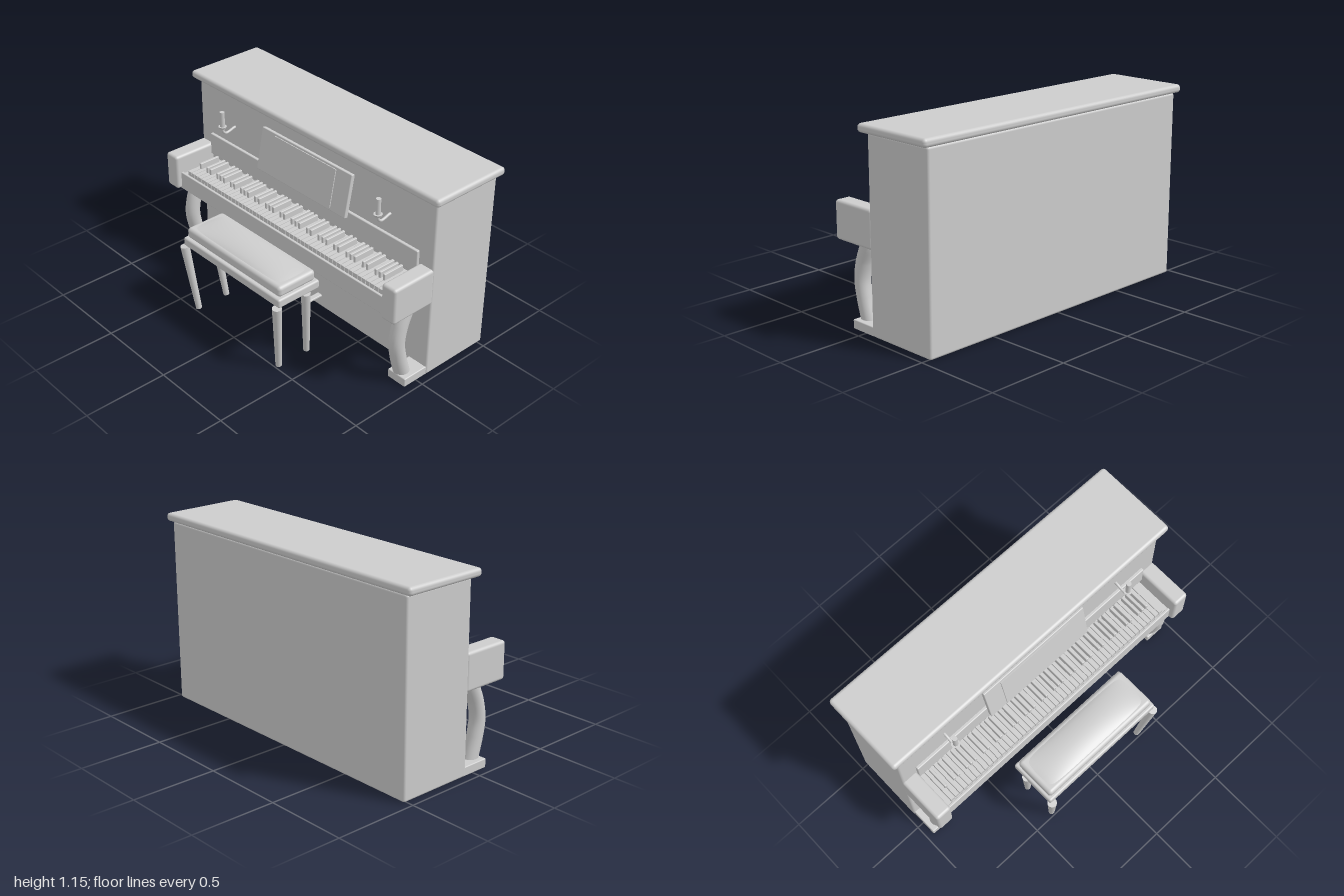
import * as THREE from 'three';
import { RoundedBoxGeometry } from 'three/addons/geometries/RoundedBoxGeometry.js';

const grey = new THREE.MeshStandardMaterial({ color: 0xcccccc });
grey.name = 'light grey';

const V = (x, y, z) => new THREE.Vector3(x, y, z);

function add(parent, name, geometry) {
  const mesh = new THREE.Mesh(geometry, grey);
  mesh.name = name;
  parent.add(mesh);
  return mesh;
}

// Box given by its limits on each axis, with rounded edges when r > 0
function box(parent, name, [x0, x1], [y0, y1], [z0, z1], r = 0) {
  const w = x1 - x0, h = y1 - y0, d = z1 - z0;
  const geo = r ? new RoundedBoxGeometry(w, h, d, 3, r) : new THREE.BoxGeometry(w, h, d);
  const mesh = add(parent, name, geo);
  mesh.position.set((x0 + x1) / 2, (y0 + y1) / 2, (z0 + z1) / 2);
  return mesh;
}

// Tapered round bar between two points
function bar(parent, name, a, b, ra, rb) {
  const dir = b.clone().sub(a);
  const mesh = add(parent, name, new THREE.CylinderGeometry(rb, ra, dir.length(), 20));
  mesh.position.copy(a).add(b).multiplyScalar(0.5);
  mesh.quaternion.setFromUnitVectors(V(0, 1, 0), dir.normalize());
  return mesh;
}

function tube(parent, name, points, r) {
  const curve = new THREE.CatmullRomCurve3(points);
  return add(parent, name, new THREE.TubeGeometry(curve, 28, r, 20));
}

function buildCase(g) {
  box(g, 'cabinet', [-0.962, 0.962], [0.004, 1.104], [-0.525, -0.068], 0.014);
  box(g, 'lid', [-1, 1], [1.104, 1.152], [-0.545, -0.03], 0.02);
  box(g, 'fallboard', [-0.862, 0.862], [0.636, 0.775], [-0.08, -0.05], 0.006);
  box(g, 'keybed', [-0.88, 0.88], [0.476, 0.575], [-0.08, 0.17]);
  box(g, 'keySlip', [-0.88, 0.88], [0.476, 0.588], [0.163, 0.18], 0.005);

  // Cheeks, curved legs and feet on both sides
  for (const s of [-1, 1]) {
    const x = s * 0.914;
    box(g, 'cheek', [x - 0.05, x + 0.05], [0.48, 0.7], [-0.082, 0.212], 0.018);
    const lx = s * 0.884;
    tube(g, 'leg', [
      V(lx, 0.495, 0.033), V(lx, 0.46, 0.043), V(lx, 0.37, 0.078), V(lx, 0.27, 0.095),
      V(lx, 0.17, 0.08), V(lx, 0.07, 0.052), V(lx, 0.04, 0.043),
    ], 0.045);
    const fx = s * 0.893;
    box(g, 'foot', [fx - 0.064, fx + 0.064], [0.004, 0.057], [-0.08, 0.095], 0.006);
  }

  // Pedals
  for (const x of [-0.104, 0, 0.104])
    box(g, 'pedal', [x - 0.018, x + 0.018], [0.076, 0.092], [-0.08, 0.06], 0.006);
}

function buildKeys(g) {
  const count = 52, pitch = 1.65 / count, left = -0.825;
  for (let i = 0; i < count; i++) {
    const x = left + i * pitch;
    box(g, 'whiteKey', [x + 0.002, x + pitch - 0.002], [0.57, 0.608], [-0.07, 0.158]);
    // Raised keys in the usual groups of two and three; the lowest key is an A
    const note = (i + 5) % 7;
    if (i < count - 1 && note !== 2 && note !== 6) {
      const c = x + pitch;
      box(g, 'blackKey', [c - 0.0085, c + 0.0085], [0.6, 0.645], [-0.05, 0.088], 0.004);
    }
  }
}

function buildMusicDesk(g) {
  const desk = new THREE.Group();
  desk.name = 'musicDesk';
  box(desk, 'deskBoard', [-0.367, 0.367], [-0.13, 0.13], [-0.013, 0.013], 0.005);
  box(desk, 'sheet', [-0.253, 0.253], [-0.112, 0.118], [0.016, 0.022]);
  box(desk, 'sheetBacking', [-0.24, 0.24], [-0.1, 0.1], [0.01, 0.018]);
  desk.position.set(0, 0.889, -0.036);
  desk.rotation.x = -0.19;
  g.add(desk);
}

function buildCandleHolders(g) {
  for (const x of [-0.642, 0.642]) {
    const holder = new THREE.Group();
    holder.name = 'candleHolder';
    bar(holder, 'candle', V(x, 0.935, 0.026), V(x, 1.03, 0.026), 0.0145, 0.0145);
    bar(holder, 'dish', V(x, 0.924, 0.026), V(x, 0.937, 0.026), 0.02, 0.025);
    tube(holder, 'arm', [
      V(x, 0.928, 0.026), V(x, 0.9, 0.021), V(x, 0.885, 0.002),
      V(x, 0.888, -0.025), V(x, 0.898, -0.055), V(x, 0.9, -0.075),
    ], 0.008);
    g.add(holder);
  }
}

function buildBench() {
  const g = new THREE.Group();
  g.name = 'bench';
  box(g, 'benchFrame', [-0.414, 0.414], [0.436, 0.49], [0.222, 0.516], 0.012);
  box(g, 'cushion', [-0.4, 0.4], [0.488, 0.555], [0.238, 0.5], 0.022);

  // Softly domed top of the cushion
  const w = 0.76, d = 0.225;
  const geo = new THREE.PlaneGeometry(w, d, 32, 16).rotateX(-Math.PI / 2);
  const p = geo.attributes.position;
  for (let i = 0; i < p.count; i++) {
    const u = 2 * p.getX(i) / w, v = 2 * p.getZ(i) / d;
    p.setY(i, 0.028 * (1 - u * u) ** 0.7 * (1 - v * v) ** 0.8 || 0);
  }
  geo.computeVertexNormals();
  add(g, 'cushionCrown', geo).position.set(0, 0.552, 0.369);

  // Tapered legs, drawn inwards and backwards towards the floor
  for (const s of [-1, 1])
    for (const z of [0.518, 0.311])
      bar(g, 'benchLeg', V(s * 0.357, 0.003, z - 0.045), V(s * 0.4, 0.437, z), 0.018, 0.027);
  return g;
}

export function createModel() {
  const model = new THREE.Group();
  model.name = 'uprightPianoWithBench';
  const piano = new THREE.Group();
  piano.name = 'piano';
  buildCase(piano);
  buildKeys(piano);
  buildMusicDesk(piano);
  buildCandleHolders(piano);
  model.add(piano, buildBench());
  return model;
}
